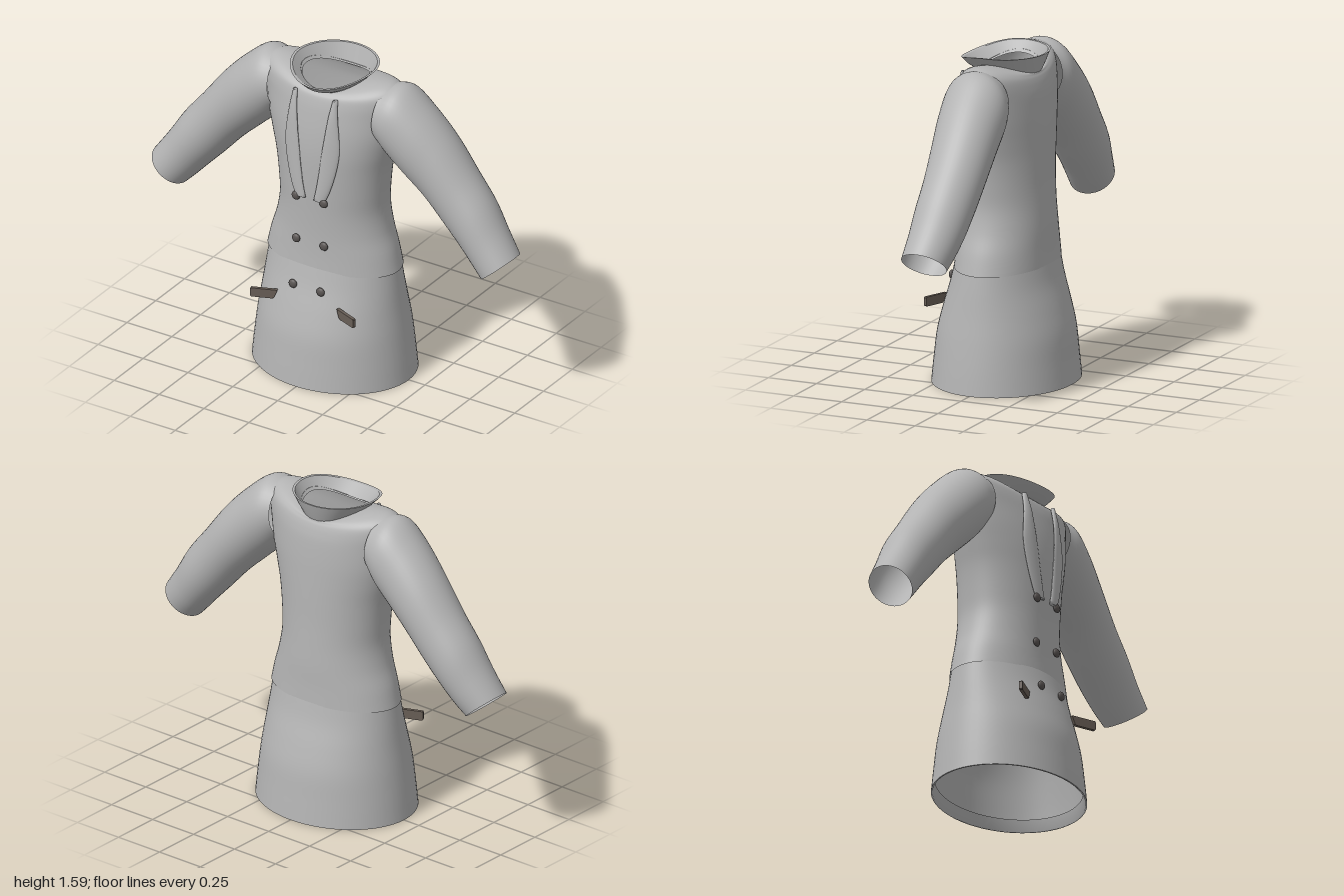
import * as THREE from 'three';

const cloth = new THREE.MeshStandardMaterial({ color: 0xb4b4b4, side: THREE.DoubleSide });
cloth.name = 'greyCloth';
const buttonMat = new THREE.MeshStandardMaterial({ color: 0x5a5553 });
buttonMat.name = 'darkButton';
const flapMat = new THREE.MeshStandardMaterial({ color: 0x685e56 });
flapMat.name = 'brownFlap';

// Smoothly resample a table of section rows to n rows
function resample(rows, n) {
  const stride = rows[0].length;
  const curve = new THREE.CubicInterpolant(rows.map((_, i) => i), rows.flat(), stride, new Float32Array(stride));
  return Array.from({ length: n }, (_, i) => Array.from(curve.evaluate((i / (n - 1)) * (rows.length - 1))));
}

// Skin closed rings: point(row, cos, sin) gives one corner of a section
function loft(rows, sides, point) {
  const pos = [], index = [];
  rows.forEach((row, i) => {
    for (let j = 0; j < sides; j++) {
      const a = (j / sides) * Math.PI * 2;
      pos.push(...point(row, Math.cos(a), Math.sin(a)));
      if (i === rows.length - 1) continue;
      const k = (j + 1) % sides;
      const p = i * sides + j, q = i * sides + k;
      index.push(p, p + sides, q, q, p + sides, q + sides);
    }
  });
  const g = new THREE.BufferGeometry();
  g.setAttribute('position', new THREE.Float32BufferAttribute(pos, 3));
  g.setIndex(index);
  g.computeVertexNormals();
  return g;
}

// Body section row: half width, front z, back z, side y, front y, back y
const full = ([hx, zf, zb, ys, yf = ys, yb = yf]) => [hx, zf, zb, ys, yf, yb];
const bodyPoint = ([hx, zf, zb, ys, yf, yb], c, s) => [
  hx * c,
  ys + ((s > 0 ? yf : yb) - ys) * s * s,
  s > 0 ? zf * s : -zb * s,
];

export function createModel() {
  const model = new THREE.Group();
  const add = (name, geometry, material = cloth, parent = model) => {
    const mesh = new THREE.Mesh(geometry, material);
    mesh.name = name;
    parent.add(mesh);
    return mesh;
  };
  const body = (name, rows, n) => {
    const table = rows.map(full);
    return add(name, loft(n ? resample(table, n) : table, 64, bodyPoint));
  };

  // Flared skirt with a turned hem
  body('skirt', [
    [0.41, 0.34, -0.34, 0], [0.398, 0.328, -0.328, 0.12], [0.382, 0.312, -0.314, 0.25],
    [0.365, 0.28, -0.285, 0.37], [0.35, 0.242, -0.25, 0.49], [0.335, 0.214, -0.228, 0.6],
  ], 26);
  body('hem', [[0.39, 0.32, -0.32, 0.06], [0.402, 0.332, -0.332, 0], [0.41, 0.34, -0.34, 0]]);

  // Fitted bodice, overlapping the skirt a little at the hips
  body('bodice', [
    [0.35, 0.218, -0.232, 0.565, 0.575], [0.327, 0.213, -0.229, 0.66], [0.295, 0.211, -0.228, 0.76],
    [0.276, 0.213, -0.223, 0.87], [0.281, 0.217, -0.218, 0.98], [0.296, 0.219, -0.215, 1.1],
    [0.32, 0.217, -0.212, 1.2], [0.345, 0.207, -0.208, 1.3], [0.362, 0.19, -0.2, 1.4],
    [0.374, 0.178, -0.19, 1.48, 1.45], [0.366, 0.167, -0.18, 1.535, 1.48],
    [0.32, 0.155, -0.173, 1.562, 1.493], [0.25, 0.145, -0.17, 1.563, 1.5], [0.17, 0.135, -0.165, 1.55, 1.5],
  ], 66);

  // Standing collar: outer face, lip and inner face
  body('collarOuter', [[0.16, 0.14, -0.165, 1.535, 1.49], [0.188, 0.182, -0.186, 1.565, 1.512, 1.54], [0.212, 0.215, -0.203, 1.59, 1.545, 1.59]]);
  body('collarLip', [[0.212, 0.215, -0.203, 1.59, 1.545, 1.59], [0.2, 0.2, -0.193, 1.589, 1.544, 1.589]]);
  body('collarInner', [[0.2, 0.2, -0.193, 1.589, 1.544, 1.589], [0.17, 0.137, -0.165, 1.548, 1.502]]);

  // Sleeve rows: top x, top y, bottom x, bottom y, front z, back z
  const sleeveRows = resample([
    [0.30, 1.555, 0.28, 1.27, 0.14, -0.15], [0.39, 1.56, 0.335, 1.2, 0.15, -0.175],
    [0.5, 1.475, 0.43, 1.11, 0.14, -0.178], [0.62, 1.35, 0.53, 1.015, 0.12, -0.178],
    [0.74, 1.195, 0.63, 0.905, 0.108, -0.17], [0.84, 1.07, 0.72, 0.81, 0.105, -0.16],
    [0.92, 0.945, 0.785, 0.74, 0.103, -0.14], [1.0, 0.83, 0.835, 0.69, 0.105, -0.118],
  ], 40);

  // Lapel rows: y, inner x, outer x, middle z
  const lapelRows = resample([
    [1.49, 0.1, 0.122, 0.178], [1.4, 0.087, 0.134, 0.198], [1.3, 0.074, 0.147, 0.208],
    [1.22, 0.063, 0.15, 0.212], [1.12, 0.051, 0.135, 0.215], [1.02, 0.036, 0.108, 0.217],
    [0.955, 0.022, 0.082, 0.217],
  ], 24);
  const capped = (rows) => {
    const tip = ([y, a, b, z]) => [y, (a + b) / 2, (a + b) / 2, z];
    return [tip(rows[0]), ...rows, tip(rows[rows.length - 1])];
  };

  // Pocket flap outline with a slanted inner end
  const flapShape = new THREE.Shape();
  [[-0.065, 0.023], [-0.048, -0.018], [-0.04, -0.023], [0.062, -0.023], [0.066, -0.018], [0.066, 0.018], [0.062, 0.023]]
    .forEach(([x, y], i) => (i ? flapShape.lineTo(x, y) : flapShape.moveTo(x, y)));

  for (const side of [1, -1]) {
    const label = side > 0 ? 'left' : 'right';
    add(label + 'Sleeve', loft(sleeveRows, 40, ([tx, ty, bx, by, zf, zb], c, s) => [
      side * ((tx + bx) / 2 + (c * (tx - bx)) / 2),
      (ty + by) / 2 + (c * (ty - by)) / 2,
      (zf + zb) / 2 - (side * s * (zf - zb)) / 2,
    ]));

    add(label + 'Lapel', loft(capped(lapelRows), 20, ([y, a, b, z], c, s) => {
      const x = (a + b) / 2 + (c * (b - a)) / 2;
      return [side * x, y, z + 0.006 - x * x * 0.9 - side * s * 0.011];
    }));

    const flapGeo = new THREE.ExtrudeGeometry(flapShape, { depth: 0.016, bevelEnabled: false });
    flapGeo.translate(0, 0, -0.008);
    if (side < 0) flapGeo.rotateY(Math.PI).translate(0, 0, 0);
    const flap = add(label + 'PocketFlap', flapGeo, flapMat);
    flap.position.set(side * 0.228, 0.4, 0.262);
    flap.rotation.y = -side * 0.37;

    // Column of domed buttons
    [[0.95, 0.222], [0.72, 0.22], [0.488, 0.248]].forEach(([y, z]) => {
      const button = add(label + 'Button', new THREE.SphereGeometry(0.022, 20, 14), buttonMat);
      button.position.set(side * 0.077, y, z);
      button.scale.z = 0.55;
    });
  }
  return model;
}
